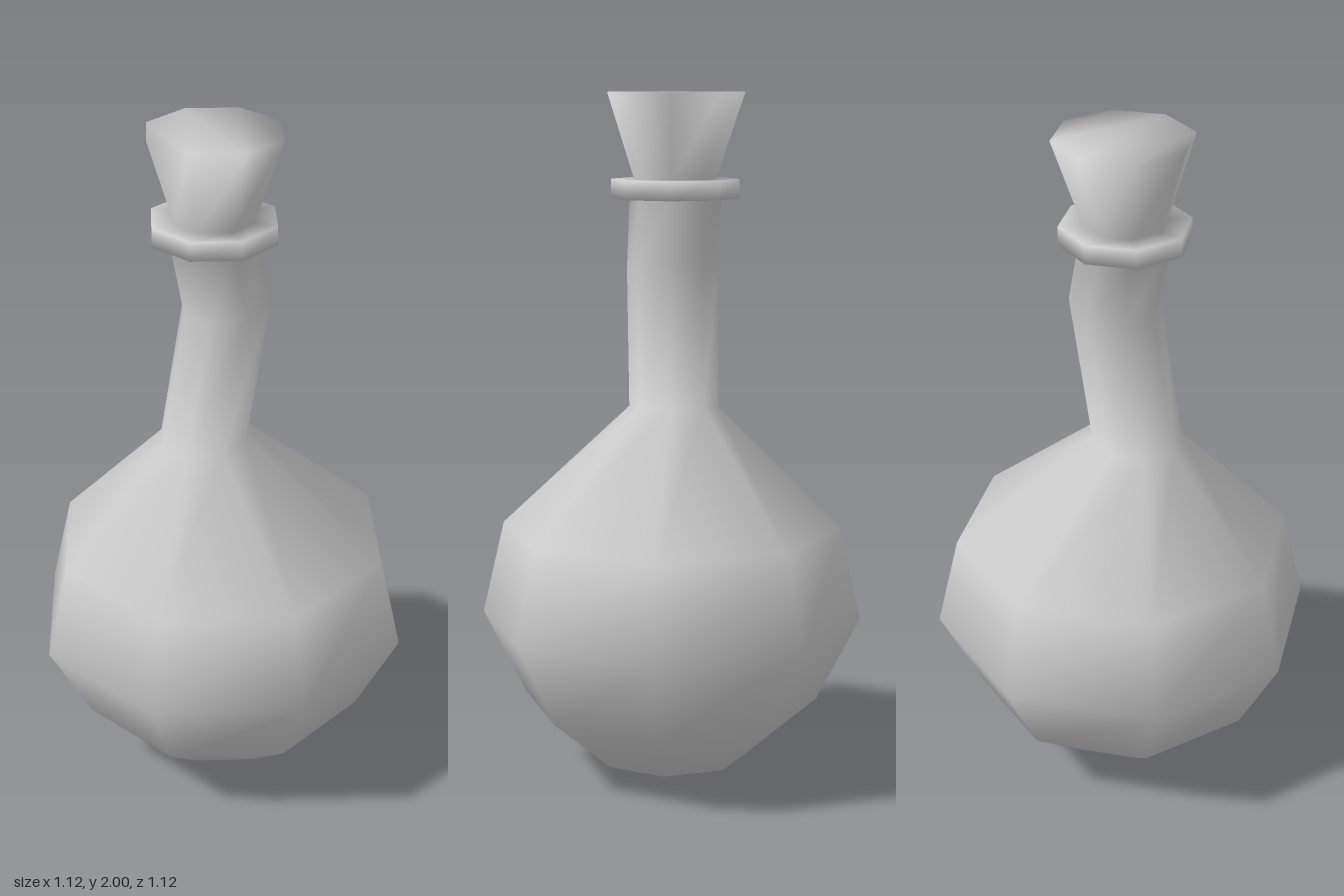
import * as THREE from 'three';

const SIDES = 8;
const TWIST = THREE.MathUtils.degToRad(4);

// Cross-sections from bottom to top: [centre x, centre y, centre z, radius, lean]
// lean tips the ring: higher towards +x and -z
const RINGS = [
  [0, 0.05, 0, 0.235, 0],
  [0, 0.22, 0, 0.435, 0.005],
  [0, 0.47, 0, 0.562, 0.01],
  [0, 0.745, 0, 0.497, 0.005],
  [-0.045, 1.09, 0.033, 0.131, 0.07],     // shoulder meets neck
  [0.01, 1.505, -0.018, 0.131, 0.12],     // neck bend
  [-0.022, 1.7, 0.004, 0.131, 0],         // neck top
  [-0.021, 1.7, 0.003, 0.185, 0],         // lip
  [-0.021, 1.755, 0.003, 0.185, 0],
  [-0.021, 1.755, 0.003, 0.118, 0],       // stopper base
  [-0.02, 2, -0.002, 0.197, 0]            // stopper top
];

export function createModel() {
  const group = new THREE.Group();
  group.name = 'flask';
  const clay = new THREE.MeshStandardMaterial({ color: 0xcccccc });
  clay.name = 'plain grey';

  // Ring vertices, then the bottom point
  const positions = [];
  for (const [cx, cy, cz, r, lean] of RINGS) {
    for (let j = 0; j < SIDES; j++) {
      const a = TWIST + (j / SIDES) * Math.PI * 2;
      const dx = r * Math.cos(a), dz = r * Math.sin(a);
      positions.push(cx + dx, cy + lean * (dx - dz), cz + dz);
    }
  }
  const tip = RINGS.length * SIDES;
  positions.push(0, 0, 0);

  // Side faces between two levels of rings
  const wall = (from, to) => {
    const faces = [];
    for (let i = from; i < to; i++) {
      for (let j = 0; j < SIDES; j++) {
        const k = (j + 1) % SIDES;
        const a = i * SIDES + j, b = i * SIDES + k;
        const c = a + SIDES, d = b + SIDES;
        faces.push(a, c, b, b, c, d);
      }
    }
    return faces;
  };

  // Bottom fan
  const base = [];
  for (let j = 0; j < SIDES; j++) base.push(tip, j, (j + 1) % SIDES);

  // Flat stopper top, filled as a strip
  const cap = [];
  const strip = [3, 4, 2, 5, 1, 6, 0, 7];
  for (let i = 0; i < SIDES - 2; i++) {
    const tri = strip.slice(i, i + 3).sort((p, q) => q - p);
    cap.push(...tri.map((v) => (RINGS.length - 1) * SIDES + v));
  }

  const parts = {
    bulb: [...base, ...wall(0, 4)],
    neck: wall(4, 6),
    lip: wall(6, 9),
    stopper: [...wall(9, 10), ...cap]
  };

  // Normals are shared so that shading runs smoothly from part to part
  const whole = new THREE.BufferGeometry();
  whole.setAttribute('position', new THREE.Float32BufferAttribute(positions, 3));
  whole.setIndex(Object.values(parts).flat());
  whole.computeVertexNormals();

  for (const [name, faces] of Object.entries(parts)) {
    const geometry = new THREE.BufferGeometry();
    geometry.setAttribute('position', whole.getAttribute('position'));
    geometry.setAttribute('normal', whole.getAttribute('normal'));
    geometry.setIndex(faces);
    const mesh = new THREE.Mesh(geometry, clay);
    mesh.name = name;
    group.add(mesh);
  }
  return group;
}
